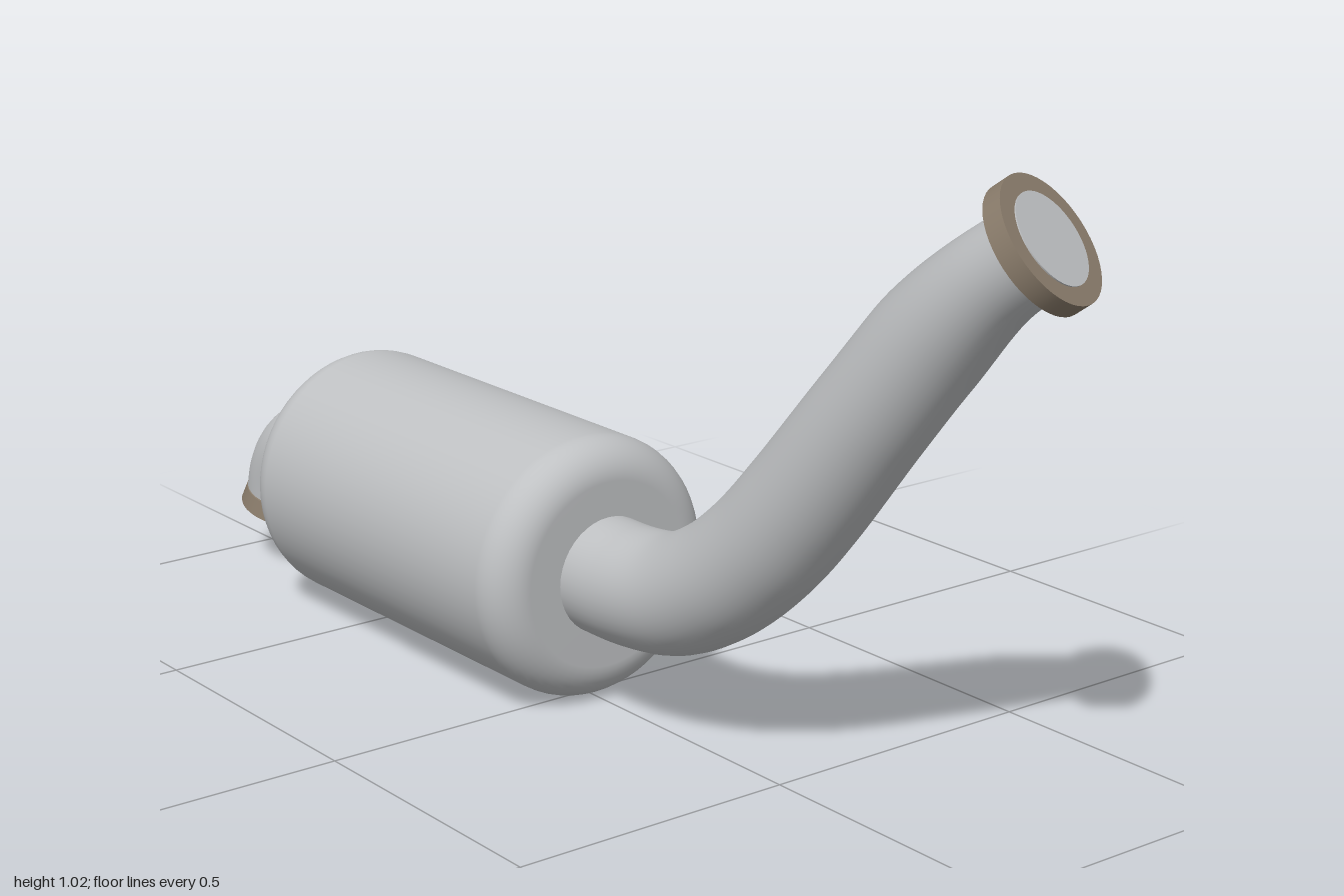
import * as THREE from 'three';

const V = (x, y, z = 0) => new THREE.Vector3(x, y, z);
const UP = V(0, 1, 0);

// Tube along a smooth path whose radius follows radiusAt(u), u = 0..1
function pipe(points, radiusAt, segments) {
  const curve = new THREE.CatmullRomCurve3(points, false, 'centripetal');
  const sides = 40;
  const geo = new THREE.TubeGeometry(curve, segments, 1, sides, false);
  const pos = geo.attributes.position;
  const p = V(0, 0);
  for (let i = 0; i <= segments; i++) {
    const u = i / segments;
    const centre = curve.getPointAt(u);
    const r = radiusAt(u);
    for (let j = 0; j <= sides; j++) {
      const k = i * (sides + 1) + j;
      p.fromBufferAttribute(pos, k).sub(centre).multiplyScalar(r).add(centre);
      pos.setXYZ(k, p.x, p.y, p.z);
    }
  }
  geo.computeVertexNormals();
  // take the normals back from the tube frame so the seam stays smooth
  geo.setAttribute('normal', new THREE.TubeGeometry(curve, segments, 1, sides, false).attributes.normal);
  return geo;
}

export function createModel() {
  const model = new THREE.Group();
  model.name = 'exhaustPipe';
  const steel = new THREE.MeshStandardMaterial({ color: 0xbfc1c3 });
  steel.name = 'pale steel';
  const bronze = new THREE.MeshStandardMaterial({ color: 0x8b7d6c });
  bronze.name = 'dull bronze';

  const add = (name, geo, mat) => {
    const mesh = new THREE.Mesh(geo, mat);
    mesh.name = name;
    model.add(mesh);
    return mesh;
  };
  // Disc-like part with its axis along dir
  const addDisc = (name, rTop, rBottom, height, centre, dir, mat) => {
    const mesh = add(name, new THREE.CylinderGeometry(rTop, rBottom, height, 48), mat);
    mesh.position.copy(centre);
    mesh.quaternion.setFromUnitVectors(UP, dir);
    return mesh;
  };

  // Muffler drum with rounded rims
  const R = 0.225, half = 0.387, bevel = 0.065;
  const profile = [new THREE.Vector2(0, -half)];
  for (const end of [-1, 1]) {
    for (let i = 0; i <= 10; i++) {
      const a = (end < 0 ? i : 10 - i) / 10 * Math.PI / 2;
      profile.push(new THREE.Vector2(
        R - bevel + bevel * Math.sin(a),
        end * (half - bevel + bevel * Math.cos(a))));
    }
  }
  profile.push(new THREE.Vector2(0, half));
  const drum = add('mufflerDrum', new THREE.LatheGeometry(profile, 64), steel);
  drum.rotation.z = -Math.PI / 2;
  drum.position.set(-0.323, 0.228, 0);

  // Long outlet pipe, narrowing towards its flange
  const outDir = V(0.75, 0.6, -0.27).normalize();
  const outEnd = V(0.922, 0.932, -0.096);
  const outlet = [
    V(0, 0.228), V(0.14, 0.229), V(0.25, 0.248), V(0.356, 0.304, -0.003),
    V(0.45, 0.385, -0.01), V(0.524, 0.47, -0.018), V(0.65, 0.636, -0.037),
    V(0.765, 0.785, -0.059), V(0.84, 0.865, -0.076), outEnd,
  ];
  const outRadius = (u) =>
    0.1 - 0.008 * THREE.MathUtils.smoothstep(u, 0.4, 0.8)
        - 0.018 * THREE.MathUtils.smoothstep(u, 0.78, 0.97);
  add('outletPipe', pipe(outlet, outRadius, 70), steel);
  addDisc('outletFlange', 0.106, 0.106, 0.032, outEnd, outDir, bronze);
  addDisc('outletCap', 0.076, 0.076, 0.004,
    outEnd.clone().addScaledVector(outDir, 0.016), outDir, steel);

  // Short inlet elbow turning down
  const inlet = [V(-0.68, 0.23), V(-0.74, 0.23)];
  const turn = THREE.MathUtils.degToRad(79);
  for (let i = 0; i <= 8; i++) {
    const a = turn * i / 8;
    inlet.push(V(-0.785 - 0.103 * Math.sin(a), 0.127 + 0.103 * Math.cos(a)));
  }
  const inDir = V(-Math.cos(turn), -Math.sin(turn));
  inlet.push(inlet[inlet.length - 1].clone().addScaledVector(inDir, 0.025));
  add('inletElbow', pipe(inlet, () => 0.1, 36), steel);
  addDisc('inletFlange', 0.111, 0.103, 0.03, V(-0.888, 0.121), inDir, bronze);

  return model;
}
